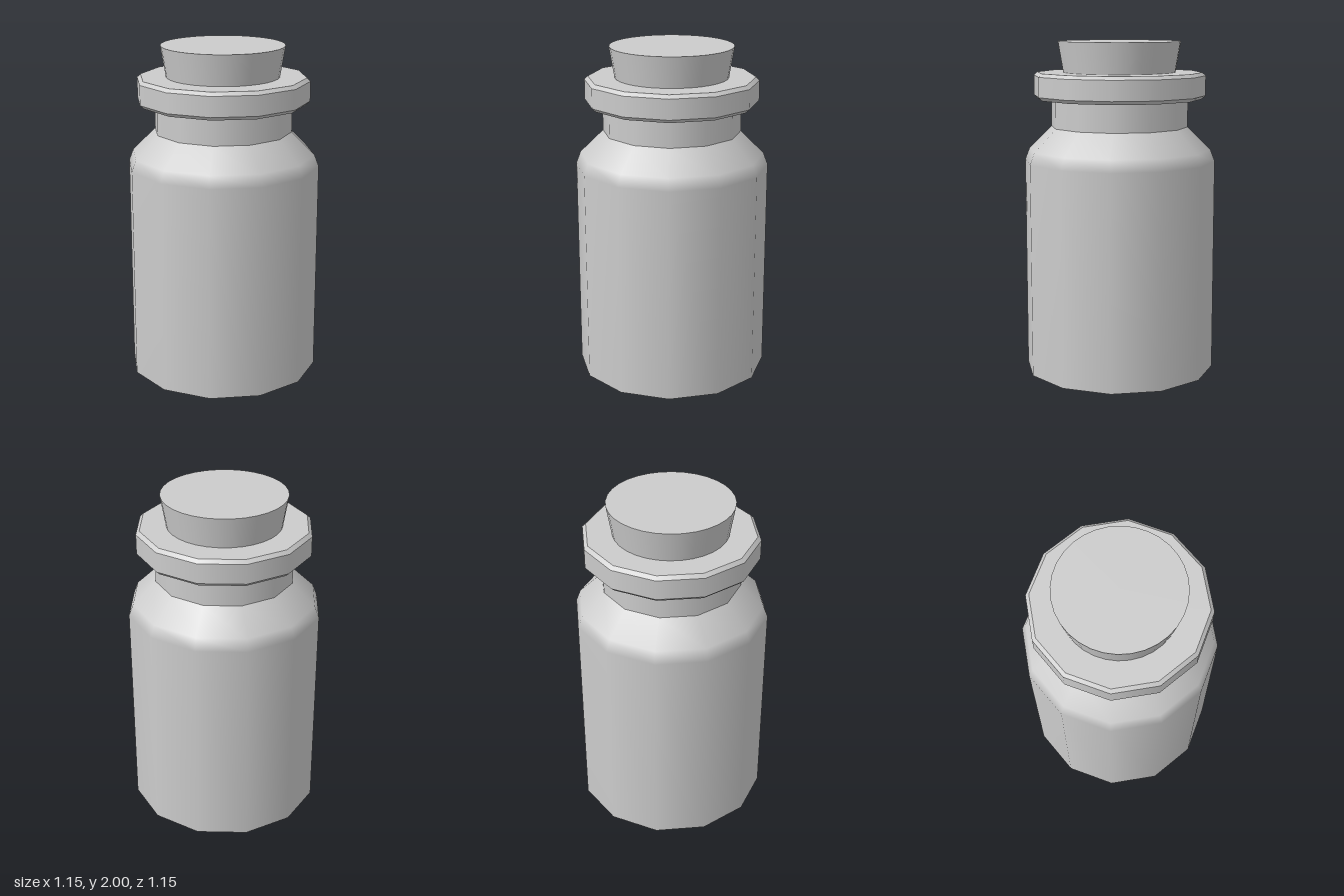
import * as THREE from 'three';

const glass = new THREE.MeshStandardMaterial({ color: 0xcccccc });
glass.name = 'paleGrey';

// Turned band: smooth around and along its profile, sharp where bands meet
function band(name, profile, sides) {
  const points = profile.map(([r, y]) => new THREE.Vector2(r, y));
  const mesh = new THREE.Mesh(new THREE.LatheGeometry(points, sides), glass);
  mesh.name = name;
  return mesh;
}

function part(name, sides, bands) {
  const group = new THREE.Group();
  group.name = name;
  for (const [bandName, profile] of Object.entries(bands)) group.add(band(bandName, profile, sides));
  return group;
}

export function createModel() {
  const jar = new THREE.Group();
  jar.name = 'stopperedJar';

  // Twelve-sided jar with a rounded shoulder
  jar.add(part('body', 12, {
    base: [[0, 0], [0.577, 0]],
    wallAndShoulder: [[0.577, 0], [0.577, 1.285], [0.55, 1.355], [0.412, 1.49]],
    neck: [[0.412, 1.49], [0.412, 1.66]],
  }));

  // Bevelled collar around the mouth
  jar.add(part('lip', 12, {
    lipUnderside: [[0.412, 1.657], [0.495, 1.657]],
    lipLowerBevel: [[0.495, 1.657], [0.517, 1.678]],
    lipRim: [[0.517, 1.678], [0.517, 1.796]],
    lipUpperBevel: [[0.517, 1.796], [0.496, 1.816]],
    lipTop: [[0.496, 1.816], [0, 1.816]],
  }));

  // Tapered round stopper
  jar.add(part('stopper', 32, {
    stopperSide: [[0.337, 1.816], [0.368, 2]],
    stopperTop: [[0.368, 2], [0, 2]],
  }));
  return jar;
}
